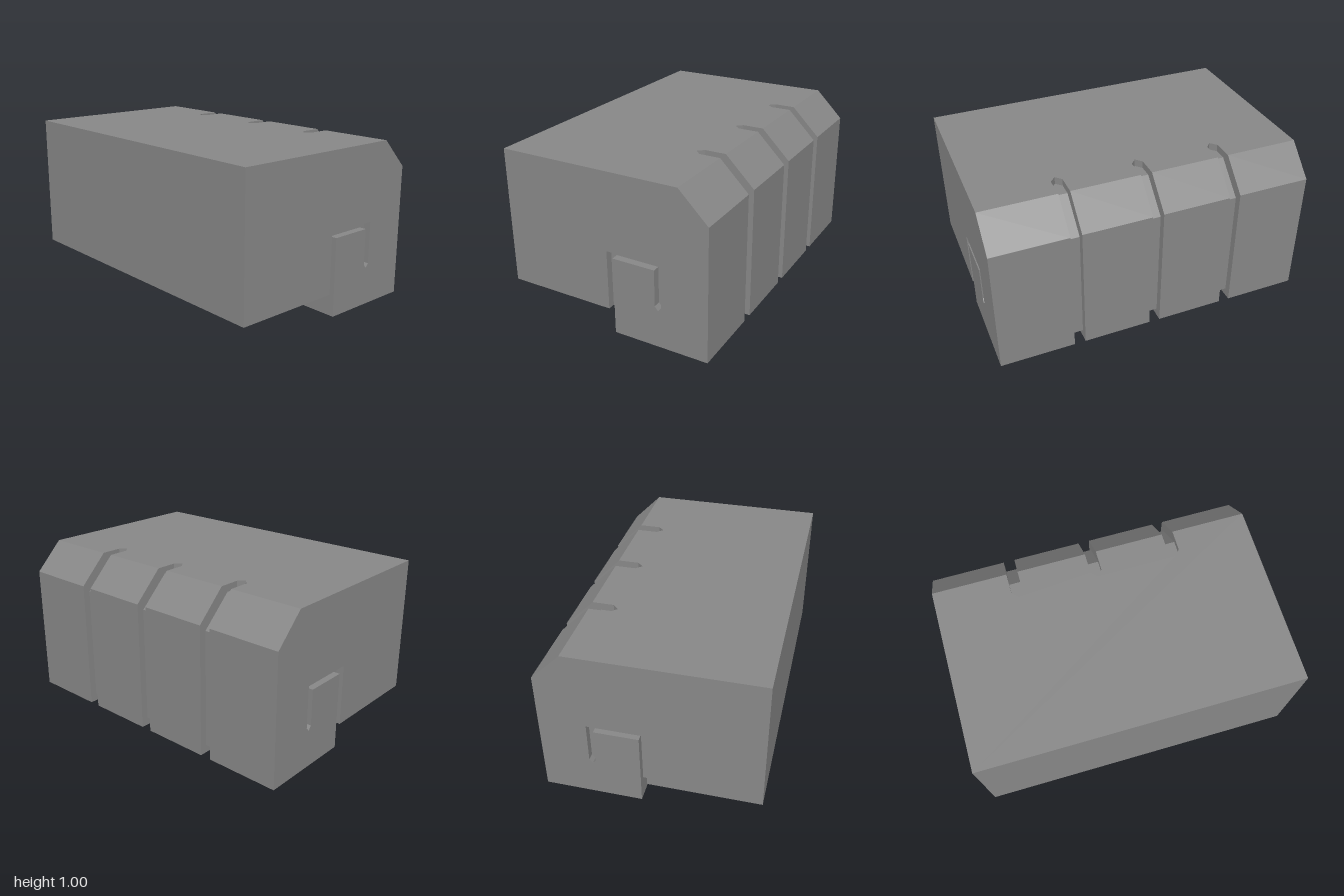
import * as THREE from 'three';

const D = 0.045;               // depth of the end slots
const W = 0.035;               // half width of the strap grooves
const GROOVES = [-0.5, 0, 0.5];
const STEP = 0.144;            // height of the raised underside

// hooked slot cut into each end face
const SLOT = [[0.022, STEP], [0.022, 0.52], [0.37, 0.52], [0.37, 0.26], [0.35, 0.235],
  [0.33, 0.26], [0.33, 0.484], [0.06, 0.484], [0.06, STEP]];
// groove floor and the outer surface above it, both from tip to tip
const FLOOR = [[0.35, 0.05], [0.615, 0.05], [0.615, 0.775], [0.43, 0.955], [0.35, 0.955]];
const OUTER = [[0.35, 0], [0.66, 0], [0.66, 0.82], [0.48, 1], [0.35, 1]];
const TIP = 0.313;

// collects flat polygons, each turned to face its outward direction
class Surface {
  positions = [];

  poly(points, out) {
    // the raised underside climbs slightly towards the front
    const pts = points.map(([x, y, z]) => new THREE.Vector3(x, y === STEP ? STEP + 0.004 * z : y, z));
    const o = new THREE.Vector3(...out);
    const a = o.toArray().map(Math.abs);
    const drop = a.indexOf(Math.max(...a));
    const [u, v] = [['y', 'z'], ['x', 'z'], ['x', 'y']][drop];
    const flat = pts.map((p) => new THREE.Vector2(p[u], p[v]));
    for (const [i, j, k] of THREE.ShapeUtils.triangulateShape(flat, [])) {
      const n = pts[j].clone().sub(pts[i]).cross(pts[k].clone().sub(pts[i]));
      for (const q of n.dot(o) < 0 ? [i, k, j] : [i, j, k]) this.positions.push(...pts[q].toArray());
    }
  }

  // sweeps a counterclockwise xy path along z
  ribbon(path, z0, z1) {
    for (let i = 0; i + 1 < path.length; i++) {
      const [p, q] = [path[i], path[i + 1]];
      this.poly([[...p, z0], [...q, z0], [...q, z1], [...p, z1]], [q[1] - p[1], p[0] - q[0], 0]);
    }
  }

  mesh(name) {
    const g = new THREE.BufferGeometry();
    g.setAttribute('position', new THREE.Float32BufferAttribute(this.positions, 3));
    g.computeVertexNormals();
    const m = new THREE.Mesh(g, new THREE.MeshStandardMaterial({ color: 0x878787, flatShading: true }));
    m.name = name;
    return m;
  }
}

// horizontal panel whose right edge is notched by the pointed grooves
function notched(x0, x1, y) {
  const pts = [[x0, y, -1], [x1, y, -1]];
  for (const z of GROOVES) {
    pts.push([x1, y, z - W], [0.35, y, z - W], [TIP, y, z], [0.35, y, z + W], [x1, y, z + W]);
  }
  return [...pts, [x1, y, 1], [x0, y, 1]];
}

function createBody() {
  const s = new Surface();
  s.poly(notched(-0.66, 0.48, 1), [0, 1, 0]);
  s.poly(notched(0.06, 0.66, 0), [0, -1, 0]);
  s.ribbon([[-0.66, 1], [-0.66, STEP]], -1, 1);
  s.ribbon([[0.06, STEP], [0.06, 0]], -1, 1);
  // raised underside, opened where the slots run out
  s.ribbon([[-0.66, STEP], [0.022, STEP]], -1, 1);
  s.ribbon([[0.022, STEP], [0.06, STEP]], D - 1, 1 - D);
  // side and chamfer between the grooves
  const cuts = [-1, ...GROOVES.flatMap((z) => [z - W, z + W]), 1];
  for (let i = 0; i < cuts.length; i += 2) s.ribbon(OUTER.slice(1, 4), cuts[i], cuts[i + 1]);
  // end faces
  const outline = [[-0.66, STEP], ...SLOT, [0.06, 0], [0.66, 0], [0.66, 0.82], [0.48, 1], [-0.66, 1]];
  for (const z of [-1, 1]) s.poly(outline.map((p) => [...p, z]), [0, 0, z]);
  return s.mesh('body');
}

function createEndSlot(side) {
  const s = new Surface();
  s.ribbon(SLOT, side * (1 - D), side);
  s.poly(SLOT.map((p) => [...p, side * (1 - D)]), [0, 0, side]);
  return s.mesh(side > 0 ? 'frontSlot' : 'backSlot');
}

function createGroove(z, i) {
  const s = new Surface();
  s.ribbon(FLOOR, z - W, z + W);
  for (const e of [-1, 1]) {
    const wall = [...OUTER, ...[...FLOOR].reverse()];
    s.poly(wall.map((p) => [...p, z + e * W]), [0, 0, -e]);
  }
  // pointed ends on the top and on the bottom
  for (const [y, floor, up] of [[1, 0.955, 1], [0, 0.05, -1]]) {
    s.poly([[0.35, floor, z - W], [TIP, floor, z], [0.35, floor, z + W]], [0, up, 0]);
    for (const e of [-1, 1]) {
      const zw = z + e * W;
      s.poly([[TIP, y, z], [0.35, y, zw], [0.35, floor, zw], [TIP, floor, z]], [W, 0, -e * (0.35 - TIP)]);
    }
  }
  return s.mesh('strapGroove' + (i + 1));
}

export function createModel() {
  const group = new THREE.Group();
  group.name = 'chamferedBlock';
  group.add(createBody(), createEndSlot(1), createEndSlot(-1), ...GROOVES.map(createGroove));
  return group;
}
